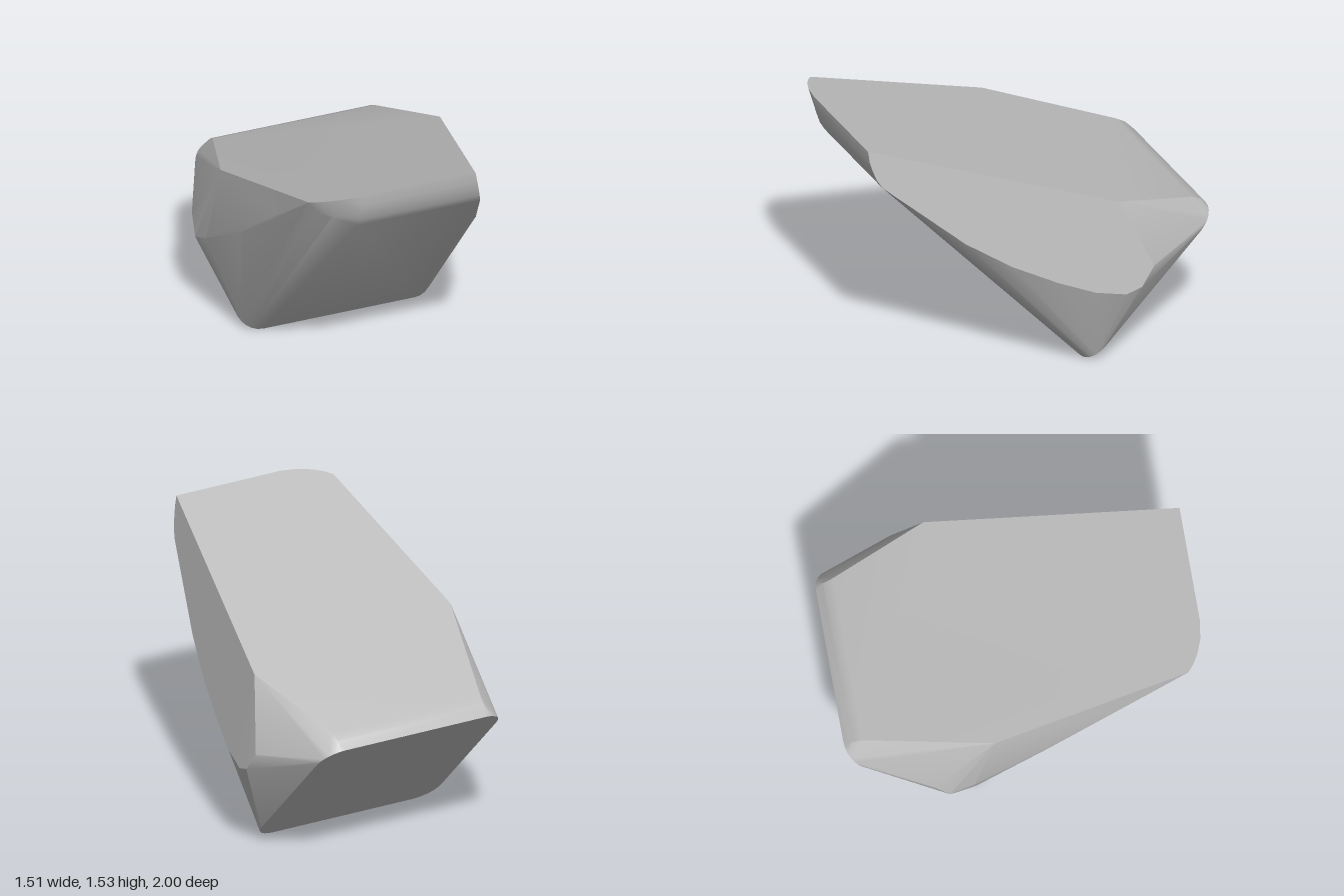
import * as THREE from 'three';
import { ConvexGeometry } from 'three/addons/geometries/ConvexGeometry.js';
import { toCreasedNormals } from 'three/addons/utils/BufferGeometryUtils.js';

// Sloping flat top and the slanted flat cut on the +x side
const topY = (z) => 1.53 - 0.36 * (1 - z);
const cutX = (y, z) => 0.773 - 0.182 * y - 0.1745 * z;

export function createModel() {
  const group = new THREE.Group();
  group.name = 'cutBlock';
  const grey = new THREE.MeshStandardMaterial({ color: 0xbdbdbd });
  grey.name = 'grey';

  const points = [];
  const add = (x, y, z) => points.push(new THREE.Vector3(x, y, z));

  // Base: rounded square lying in a 45 degree plane
  const half = 0.575, length = 1.089, r = 0.13, k = Math.SQRT1_2;
  for (const sx of [-1, 1]) {
    for (const end of [0, 1]) {
      for (let i = 0; i <= 6; i++) {
        const a = (i / 6) * Math.PI / 2;
        const inset = r * (1 - Math.sin(a));
        const s = end ? length - inset : inset;
        add(sx * (half - r + r * Math.cos(a)), s * k, -0.23 - s * k);
      }
    }
  }

  // Widest shoulders and the softened upper back edge, mirrored
  for (const s of [-1, 1]) {
    add(s * 0.725, 0.45, -0.42);
    add(s * 0.757, 0.53, -0.46);
    add(s * 0.745, 0.64, -0.54);
    add(s * 0.48, topY(-0.9), -0.9);
    add(s * 0.47, 0.815, -0.957);
  }

  // Rounded front lip, ending on the slanted cut
  for (const [y, z] of [[1.31, 0.936], [1.36, 0.965], [1.42, 0.985], [1.47, 0.996], [1.53, 1]]) {
    add(-0.35, y, z);
    add(cutX(y, z), y, z);
  }

  // Curved lower edge and upper corner of the slanted cut
  for (const [y, z] of [[1.1, 0.7], [0.92, 0.5], [0.75, 0.25], [0.62, 0], [0.535, -0.2], [0.5, -0.37]]) {
    add(cutX(y, z), y, z);
  }
  add(0.65, topY(-0.37), -0.37);

  // Rounded front corner on the -x side
  for (const [x, z] of [[-0.45, 0.985], [-0.53, 0.955], [-0.58, 0.925], [-0.62, 0.89]]) add(x, topY(z), z);
  add(-0.5, 1.39, 0.93);
  add(-0.58, 1.43, 0.895);

  // Long -x side
  add(-0.71, topY(-0.2), -0.2);
  add(-0.663, 1.2, 0.5);
  add(-0.705, 0.87, 0.1);
  add(-0.748, 0.6, -0.32);

  const body = new THREE.Mesh(toCreasedNormals(new ConvexGeometry(points), 0.42), grey);
  body.name = 'body';
  group.add(body);
  return group;
}
